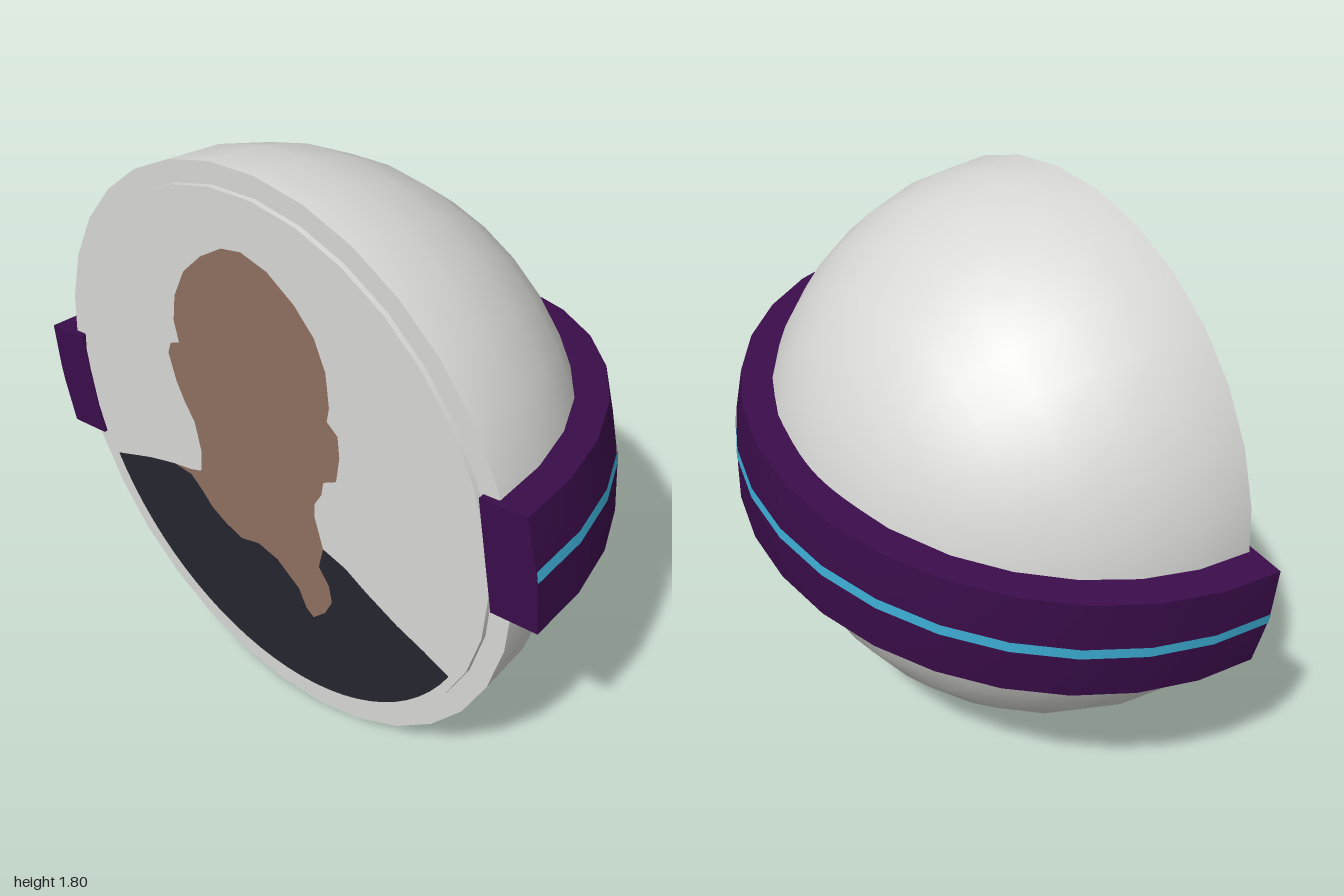
import * as THREE from 'three';
import { toCreasedNormals } from 'three/addons/utils/BufferGeometryUtils.js';

const R = 0.902; // dome radius, also the height of its centre

function material(name, color) {
  const m = new THREE.MeshStandardMaterial({ color });
  m.name = name;
  return m;
}

export function createModel() {
  const model = new THREE.Group();
  const shell = material('pale grey', 0xd8d8d6);
  const purple = material('deep purple', 0x3b0d4b);
  const cyan = material('cyan', 0x3fb4dc);
  const skin = material('brown', 0x8f7061);
  const cloth = material('dark navy', 0x252530);

  const add = (parent, name, geometry, mat, x = 0, y = 0, z = 0) => {
    const mesh = new THREE.Mesh(geometry, mat);
    mesh.name = name;
    mesh.position.set(x, y, z);
    parent.add(mesh);
    return mesh;
  };

  // Half-sphere with its flat side to the front
  const dome = new THREE.SphereGeometry(R, 32, 8, 0, Math.PI * 2, 0, Math.PI / 2);
  add(model, 'dome', dome.rotateX(-Math.PI / 2), shell, 0, R, 0.49);
  add(model, 'domeFace', new THREE.CircleGeometry(R, 32).rotateZ(Math.PI / 2), shell, 0, R, 0.49);

  // Raised round plate
  const disc = new THREE.CylinderGeometry(0.836, 0.836, 0.026, 32).rotateX(Math.PI / 2);
  add(model, 'frontPlate', disc, shell, 0, R, 0.493);

  // Tilted half-ring band with a stripe and closed ends
  const band = new THREE.Group();
  band.name = 'band';
  band.position.set(0, R, 0.51);
  band.rotation.z = THREE.MathUtils.degToRad(9);
  band.scale.z = 1.02;
  model.add(band);
  const profile = [[0.83, -0.177], [0.985, -0.177], [0.997, -0.03], [0.997, 0.03],
    [0.985, 0.177], [0.83, 0.177]].map(([r, y]) => new THREE.Vector2(r, y));
  const sweep = (pts) => new THREE.LatheGeometry(pts, 16, Math.PI / 2, Math.PI);
  add(band, 'bandRing', toCreasedNormals(sweep([...profile, profile[0]]), 0.5), purple);
  for (const side of [0, 1]) {
    const end = new THREE.ShapeGeometry(new THREE.Shape(profile)).rotateZ(side * Math.PI);
    add(band, side ? 'rightBandEnd' : 'leftBandEnd', end, purple);
  }
  const stripe = [new THREE.Vector2(1, -0.014), new THREE.Vector2(1, 0.022)];
  add(band, 'bandStripe', sweep(stripe), cyan);

  // Flat portrait: bare head and neck over a dark garment
  const neckline = [[0.23, 0.7], [0.21, 0.62], [0.25, 0.57], [0.26, 0.51], [0.23, 0.45],
    [0.18, 0.4], [0.15, 0.42], [0.12, 0.48], [0.03, 0.54], [-0.05, 0.555], [-0.13, 0.53],
    [-0.2, 0.55], [-0.26, 0.58], [-0.3, 0.62], [-0.35, 0.66], [-0.43, 0.66]];
  const head = [[-0.35, 0.68], [-0.3, 0.7], [-0.29, 0.78], [-0.31, 0.88], [-0.35, 0.94],
    [-0.38, 1.0], [-0.405, 1.09], [-0.39, 1.13], [-0.35, 1.15], [-0.365, 1.22],
    [-0.35, 1.31], [-0.3, 1.41], [-0.22, 1.49], [-0.13, 1.55], [-0.05, 1.57], [0.05, 1.55],
    [0.15, 1.49], [0.22, 1.42], [0.26, 1.33], [0.27, 1.22], [0.26, 1.17], [0.3, 1.14],
    [0.305, 1.07], [0.29, 0.98], [0.24, 0.95], [0.23, 0.9], [0.2, 0.85], [0.2, 0.8]];
  const rightShoulder = [[-0.55, 0.62]];
  const leftShoulder = [[0.62, 0.56], [0.52, 0.59], [0.4, 0.64], [0.32, 0.68]];
  // Lower edge of the garment follows the round plate
  const hem = [];
  const a0 = Math.PI + 0.455, a1 = Math.PI * 2 - 0.485;
  for (let i = 0; i <= 28; i++) {
    const a = a0 + (a1 - a0) * i / 28;
    hem.push([0.807 * Math.cos(a), R + 0.807 * Math.sin(a)]);
  }
  const flat = (pts) => new THREE.ShapeGeometry(
    new THREE.Shape(pts.map(([x, y]) => new THREE.Vector2(x, y))));
  add(model, 'headAndNeck', flat([...neckline, ...head]), skin, 0, 0, 0.509);
  add(model, 'garment', flat([...neckline, ...rightShoulder, ...hem, ...leftShoulder]), cloth, 0, 0, 0.509);

  return model;
}
